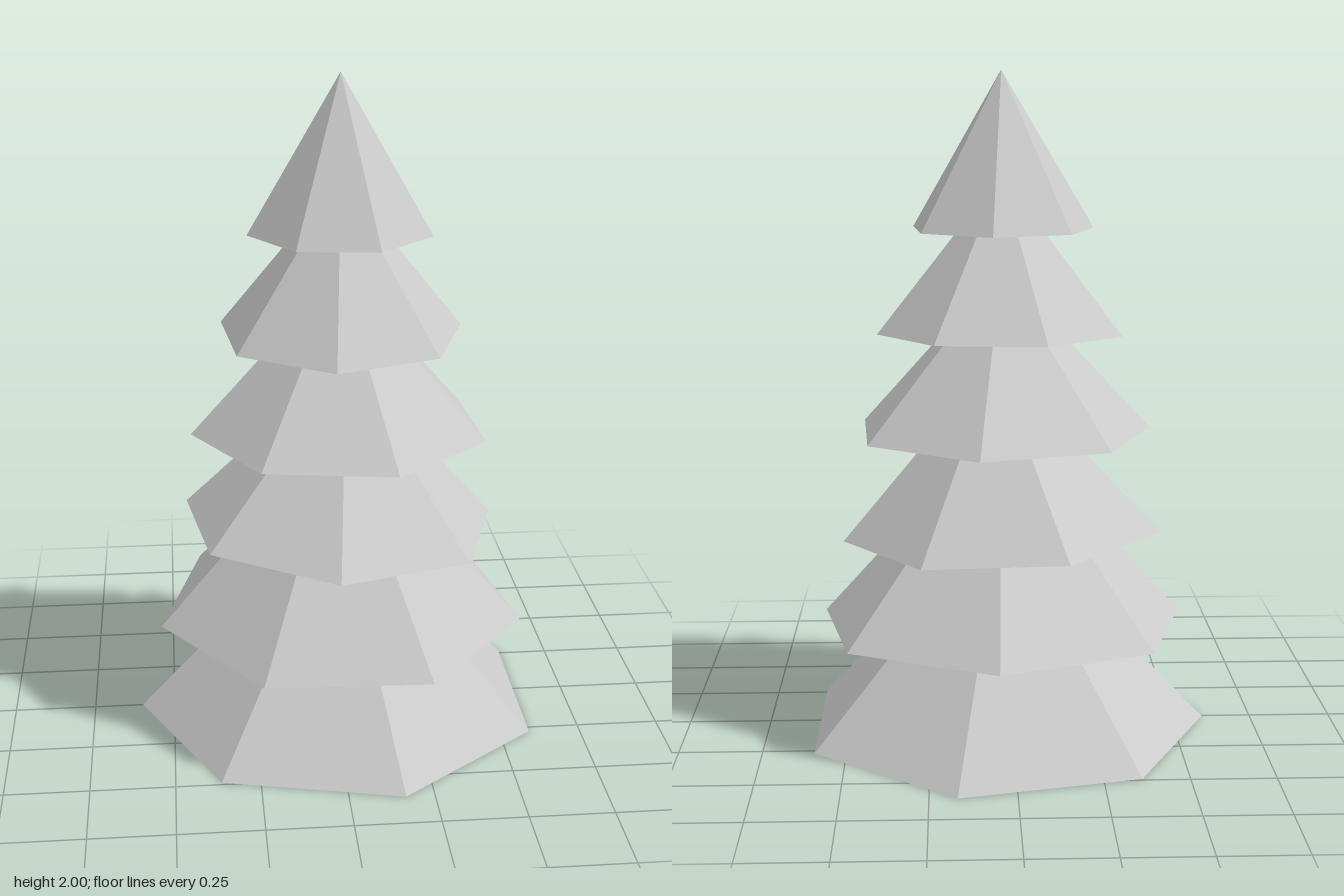
import * as THREE from 'three';

// Each tier: base height, radius, top radius ratio, height, corner angle (deg), tilts and centre of the base
const TIERS = [
  { y: 0.0, r: 0.628, top: 0.41, h: 0.39, angle: 25.9, x: 0.028, z: 0 },
  { y: 0.325, r: 0.57, top: 0.41, h: 0.37, angle: 14.9, tiltX: 0.037, x: 0.029, z: -0.011 },
  { y: 0.619, r: 0.49, top: 0.4, h: 0.315, angle: -8.5, tiltZ: -0.042, x: 0.025, z: -0.002 },
  { y: 0.925, r: 0.455, top: 0.4, h: 0.295, angle: 22, x: 0.029, z: 0 },
  { y: 1.225, r: 0.374, top: 0.33, h: 0.315, angle: -6.3, tiltX: 0.03, x: 0.029, z: -0.006 },
  { y: 1.535, r: 0.279, top: 0, h: 0.465, angle: 19.2, x: 0.029, z: 0 },
];

const SIDES = 7;

export function createModel() {
  const tree = new THREE.Group();
  tree.name = 'pineTree';
  const material = new THREE.MeshStandardMaterial({ color: 0xcccccc, flatShading: true });

  // Stacked seven-sided foliage tiers, some leaning slightly
  TIERS.forEach(({ y, r, top, h, angle, tiltX = 0, tiltZ = 0, x, z }, i) => {
    const start = THREE.MathUtils.degToRad(90 - angle);
    const geometry = top > 0
      ? new THREE.CylinderGeometry(r * top, r, h, SIDES, 1, false, start)
      : new THREE.ConeGeometry(r, h, SIDES, 1, false, start);
    geometry.translate(0, h / 2, 0);

    const tier = new THREE.Mesh(geometry, material);
    tier.name = top > 0 ? `foliageTier${i + 1}` : 'treeTop';
    tier.position.set(x, y, z);
    tier.rotation.set(tiltX, 0, tiltZ);
    tree.add(tier);
  });

  return tree;
}
